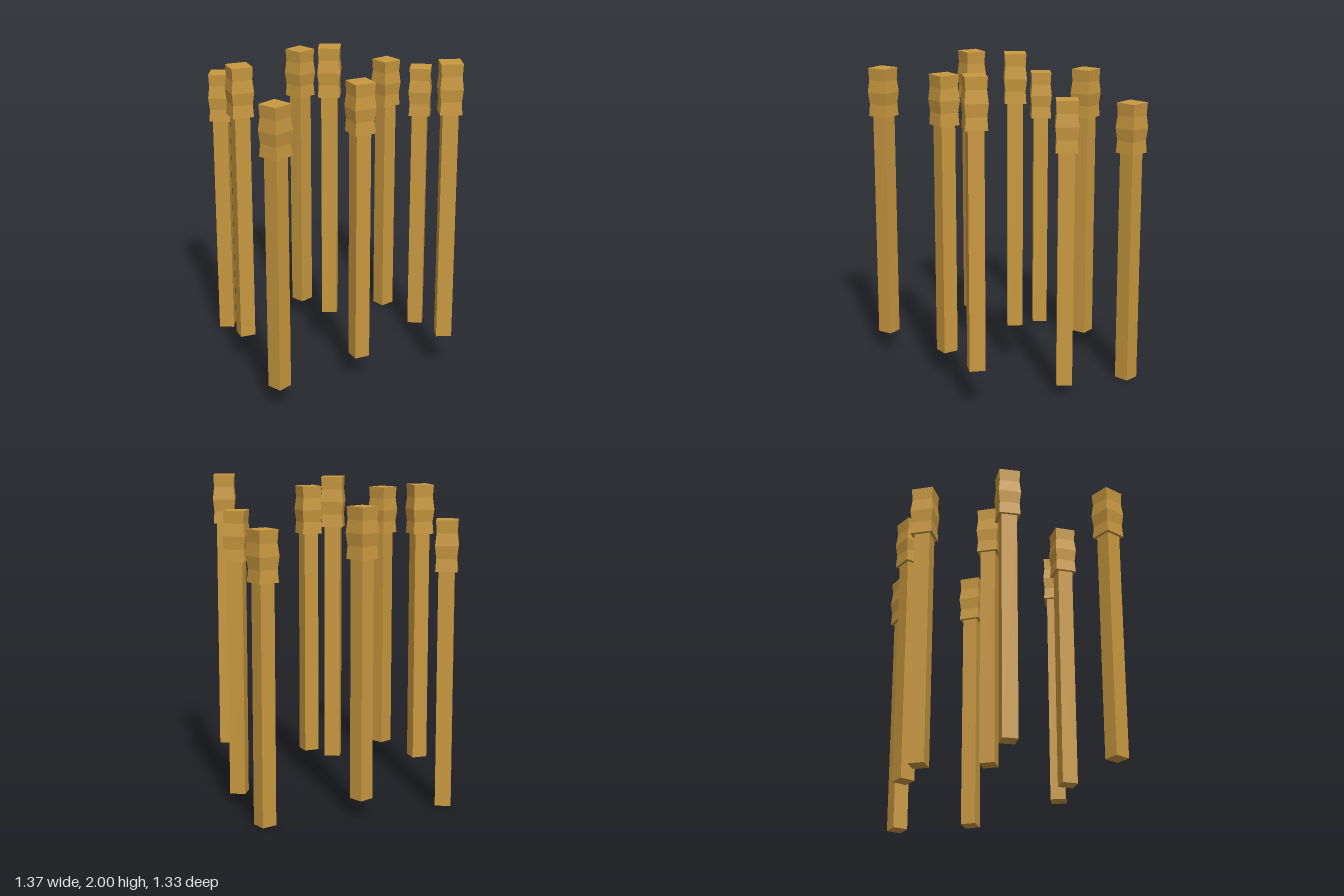
import * as THREE from 'three';

const POST_HEIGHT = 1.747;
const HEAD_HEIGHT = 0.305;
const SHAFT_WIDTH = 0.095;
// Head widths from bottom to top: a gently waisted block
const HEAD_WIDTHS = [0.132, 0.122, 0.138, 0.122, 0.13];

// x, z, base height, turn in degrees
const POSTS = [
  [-0.56, -0.56, 0.02, -26],
  [-0.02, -0.573, 0.115, 25],
  [0.567, -0.53, 0, 17.5],
  [-0.595, -0.06, 0.19, 0],
  [-0.02, -0.06, 0.253, -26],
  [0.593, -0.06, 0.066, -29.5],
  [-0.593, 0.568, 0.13, 27.5],
  [-0.022, 0.425, 0.16, 5],
  [0.516, 0.5, 0.24, -18],
];

// Square block whose width follows HEAD_WIDTHS along its height
function headGeometry() {
  const steps = HEAD_WIDTHS.length - 1;
  const geometry = new THREE.BoxGeometry(1, HEAD_HEIGHT, 1, 1, steps, 1);
  const p = geometry.attributes.position;
  for (let i = 0; i < p.count; i++) {
    const ring = Math.round((p.getY(i) / HEAD_HEIGHT + 0.5) * steps);
    const w = HEAD_WIDTHS[ring];
    p.setX(i, p.getX(i) * w);
    p.setZ(i, p.getZ(i) * w);
  }
  geometry.computeVertexNormals();
  return geometry;
}

export function createModel() {
  const model = new THREE.Group();
  model.name = 'posts';
  const wood = new THREE.MeshStandardMaterial({ color: 0xc8983f, flatShading: true });

  const shaftHeight = POST_HEIGHT - HEAD_HEIGHT;
  const shaftGeometry = new THREE.BoxGeometry(SHAFT_WIDTH, shaftHeight, SHAFT_WIDTH);
  const blockGeometry = headGeometry();

  POSTS.forEach(([x, z, base, turn], i) => {
    const post = new THREE.Group();
    post.name = `post${i + 1}`;

    const shaft = new THREE.Mesh(shaftGeometry, wood);
    shaft.name = 'shaft';
    shaft.position.y = shaftHeight / 2;

    const head = new THREE.Mesh(blockGeometry, wood);
    head.name = 'head';
    head.position.y = shaftHeight + HEAD_HEIGHT / 2;

    post.add(shaft, head);
    post.position.set(x, base, z);
    post.rotation.y = THREE.MathUtils.degToRad(turn);
    model.add(post);
  });

  return model;
}
